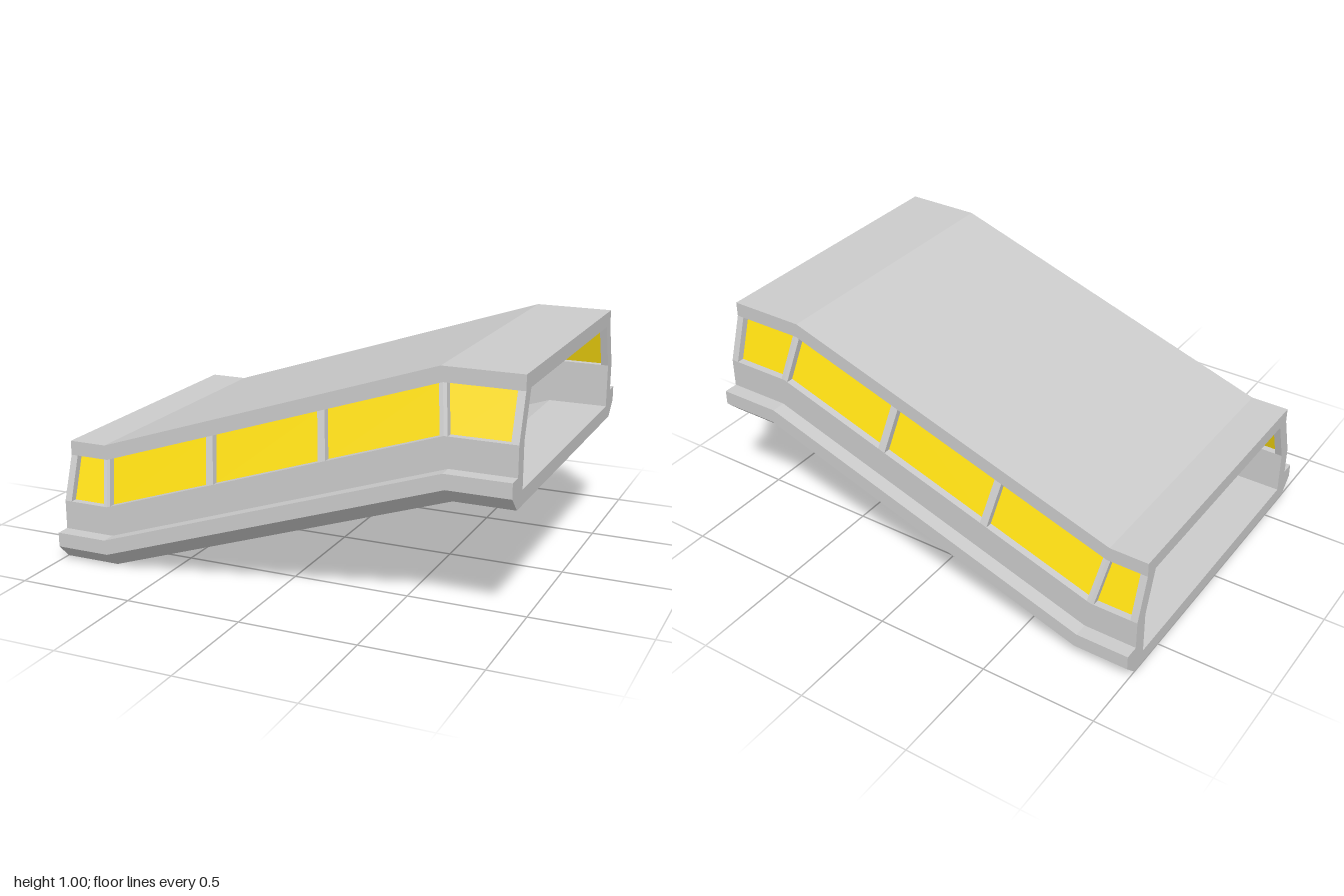
import * as THREE from 'three';

const MITRE = 0.162;           // lean of the bend planes and window posts
const P = 1 / 64;              // half a window post

// Cross-section, half side, as [height, z]; the window band is a slanted edge in each
const OUTER = [[0, 0], [0, 0.6875], [0.0625, 0.75], [0.125, 0.75], [0.125, 0.6875],
  [0.25, 0.6875], [0.4375, 0.625], [0.5, 0.625], [0.5, 0]];
const INNER = [[0.4375, 0], [0.4375, 0.5625], [0.25, 0.625], [0.0625, 0.625], [0.0625, 0]];
const OUTER_BAND = 5, INNER_BAND = 1;

// Stations along the corridor; end stations are upright, the rest lean
const END = 1 - 2 * P;
const BENDS = [-0.75, 0.75];
const STATIONS = [-1, -END];
for (const post of [-0.75, -0.25, 0.25, 0.75]) {
  STATIONS.push(post - P);
  if (BENDS.includes(post)) STATIONS.push(post);
  STATIONS.push(post + P);
}
STATIONS.push(END, 1);

// Level, ramp, level
const rise = (u) => (THREE.MathUtils.clamp(u, -0.75, 0.75) + 0.75) / 3;

function point(u, [h, z]) {
  const lean = Math.abs(u) >= END ? 0 : MITRE * h;
  return [u - lean, rise(u) + h, z];
}

// Collects quads together with their mirror images across z = 0
class Quads {
  constructor() { this.data = []; }
  add(a, b, c, d) {
    const m = ([x, y, z]) => [x, y, -z];
    for (const p of [a, b, c, a, c, d]) this.data.push(...p);
    for (const p of [a, c, b, a, d, c]) this.data.push(...m(p));
  }
  // Strip between two stations, from profile point p to q
  span(u0, u1, p, q) {
    this.add(point(u0, p), point(u1, p), point(u1, q), point(u0, q));
  }
  geometry() {
    const g = new THREE.BufferGeometry();
    g.setAttribute('position', new THREE.Float32BufferAttribute(this.data, 3));
    g.computeVertexNormals();
    return g;
  }
}

// Ring-shaped end face of the shell
function endFace(side) {
  const outline = (half) => [
    ...half.map(([h, z]) => new THREE.Vector2(z, h)),
    ...half.slice(1, -1).reverse().map(([h, z]) => new THREE.Vector2(-z, h)),
  ];
  const shape = new THREE.Shape(outline(OUTER));
  shape.holes.push(new THREE.Path(outline(INNER)));
  return new THREE.ShapeGeometry(shape)
    .rotateY(side * Math.PI / 2)
    .translate(side, rise(side), 0);
}

export function createModel() {
  const group = new THREE.Group();
  const grey = new THREE.MeshStandardMaterial({ color: 0xcccccc, flatShading: true });
  const yellow = new THREE.MeshStandardMaterial({ color: 0xffe010, side: THREE.DoubleSide });
  const add = (name, geometry, material) => {
    const mesh = new THREE.Mesh(geometry, material);
    mesh.name = name;
    group.add(mesh);
  };

  const shell = new Quads(), reveals = new Quads(), glass = new Quads();
  const [o0, o1] = [OUTER[OUTER_BAND], OUTER[OUTER_BAND + 1]];
  const [i1, i0] = [INNER[INNER_BAND], INNER[INNER_BAND + 1]];
  const middle = (a, b) => [(a[0] + b[0]) / 2, (a[1] + b[1]) / 2];

  for (let s = 0; s < STATIONS.length - 1; s++) {
    const u0 = STATIONS[s], u1 = STATIONS[s + 1];
    const isWindow = u1 - u0 > 0.1;

    // Outer and inner skins, left open at the windows
    for (const [profile, band] of [[OUTER, OUTER_BAND], [INNER, INNER_BAND]]) {
      for (let i = 0; i < profile.length - 1; i++) {
        if (!(isWindow && i === band)) shell.span(u0, u1, profile[i], profile[i + 1]);
      }
    }
    if (!isWindow) continue;

    // Sill, header and the two jambs
    reveals.span(u0, u1, o0, i0);
    reveals.span(u0, u1, i1, o1);
    reveals.add(...[o0, i0, i1, o1].map((p) => point(u0, p)));
    reveals.add(...[o1, i1, i0, o0].map((p) => point(u1, p)));

    // Pane halfway through the wall
    glass.span(u0, u1, middle(o0, i0), middle(o1, i1));
  }

  add('corridorShell', shell.geometry(), grey);
  add('windowReveals', reveals.geometry(), grey);
  add('windowPanes', glass.geometry(), yellow);
  add('upperEndFrame', endFace(1), grey);
  add('lowerEndFrame', endFace(-1), grey);
  return group;
}
